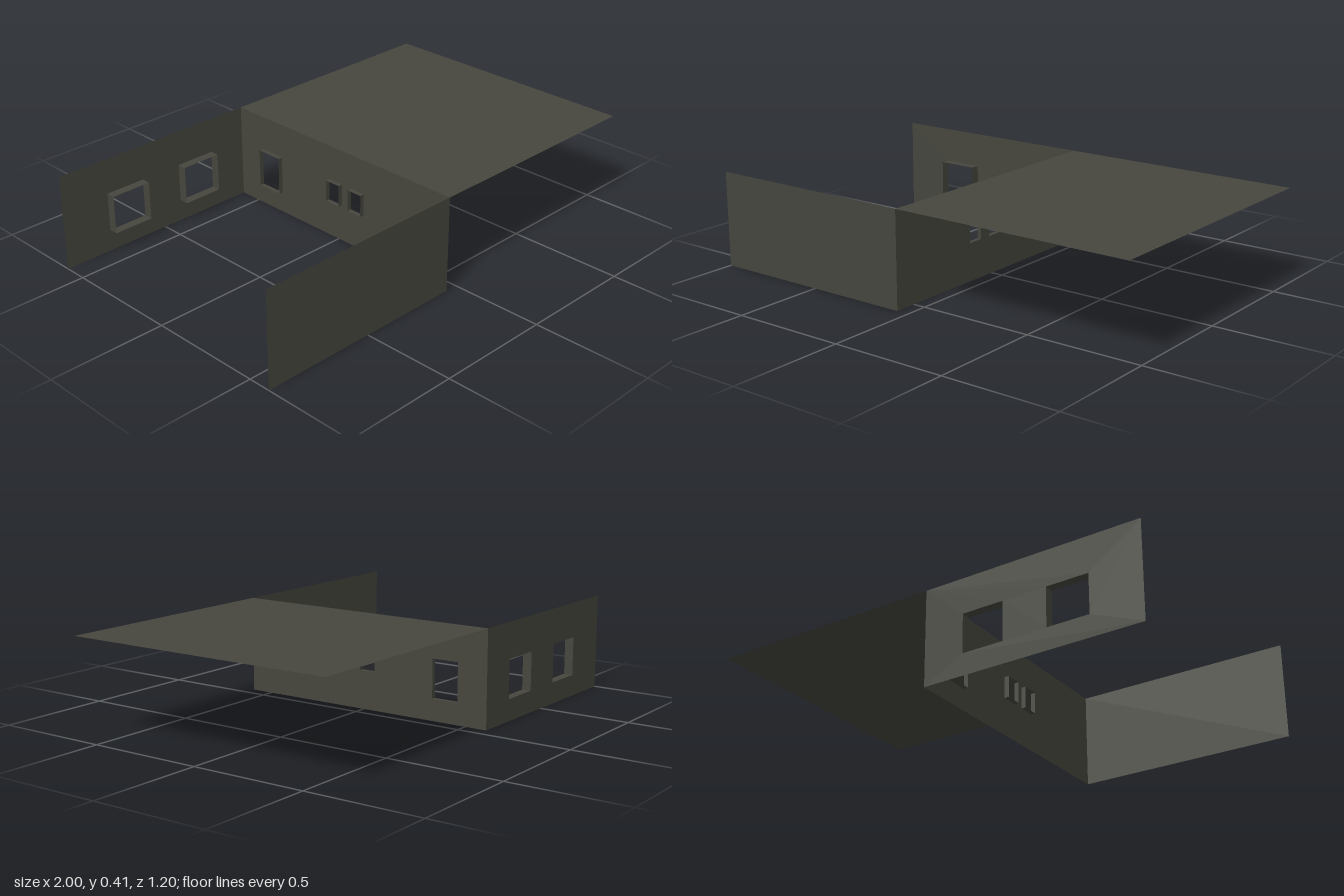
import * as THREE from 'three';
import { mergeGeometries } from 'three/addons/utils/BufferGeometryUtils.js';

const H = 0.413, HALF = 0.598, X0 = -1, X1 = -0.055, X2 = 1;

const concrete = new THREE.MeshStandardMaterial({ color: 0x46463e, side: THREE.DoubleSide });
concrete.name = 'dark concrete';

// Thin wall in the XY plane with rectangular openings [u0, u1, y0, y1]
function wallGeometry(u0, u1, openings = []) {
  const rect = (Type, a, b, c, d) =>
    new Type([[a, c], [b, c], [b, d], [a, d]].map(([x, y]) => new THREE.Vector2(x, y)));
  const shape = rect(THREE.Shape, u0, u1, 0, H);
  for (const o of openings) shape.holes.push(rect(THREE.Path, ...o));
  return new THREE.ShapeGeometry(shape);
}

// Four thin sides lining an opening, reaching out towards +z
function revealGeometry([a, b, c, d], depth) {
  const sides = [];
  for (const y of [c, d]) {
    sides.push(new THREE.PlaneGeometry(b - a, depth)
      .rotateX(y === c ? -Math.PI / 2 : Math.PI / 2).translate((a + b) / 2, y, depth / 2));
  }
  for (const x of [a, b]) {
    sides.push(new THREE.PlaneGeometry(depth, d - c)
      .rotateY(x === a ? Math.PI / 2 : -Math.PI / 2).translate(x, (c + d) / 2, depth / 2));
  }
  return mergeGeometries(sides);
}

function buildWall(name, u0, u1, openings = [], depth = 0) {
  const group = new THREE.Group();
  group.name = name;
  const panel = new THREE.Mesh(wallGeometry(u0, u1, openings), concrete);
  panel.name = name + 'Panel';
  group.add(panel);
  for (const o of openings) {
    const reveal = new THREE.Mesh(revealGeometry(o, depth), concrete);
    reveal.name = 'windowReveal';
    group.add(reveal);
  }
  return group;
}

export function createModel() {
  const model = new THREE.Group();
  model.name = 'openPavilion';

  // Solid front wall
  const front = buildWall('frontWall', X0, X1);
  front.position.z = HALF;

  // Back wall with two large windows
  const back = buildWall('backWall', X0, X1,
    [[-0.78, -0.6, 0.093, 0.26], [-0.41, -0.23, 0.093, 0.26]], 0.04);
  back.position.z = -HALF;

  // Cross wall with one large and two small windows, turned to run along z
  const cross = buildWall('crossWall', -HALF, HALF,
    [[-0.462, -0.342, 0.093, 0.26], [-0.055, 0.018, 0.165, 0.26], [0.07, 0.143, 0.165, 0.26]], 0.02);
  cross.rotation.y = -Math.PI / 2;
  cross.position.x = X1;

  // Flat roof slab
  const roof = new THREE.Mesh(
    new THREE.PlaneGeometry(X2 - X1, 2 * HALF).rotateX(-Math.PI / 2), concrete);
  roof.name = 'roof';
  roof.position.set((X1 + X2) / 2, H, 0);

  model.add(front, back, cross, roof);
  return model;
}
